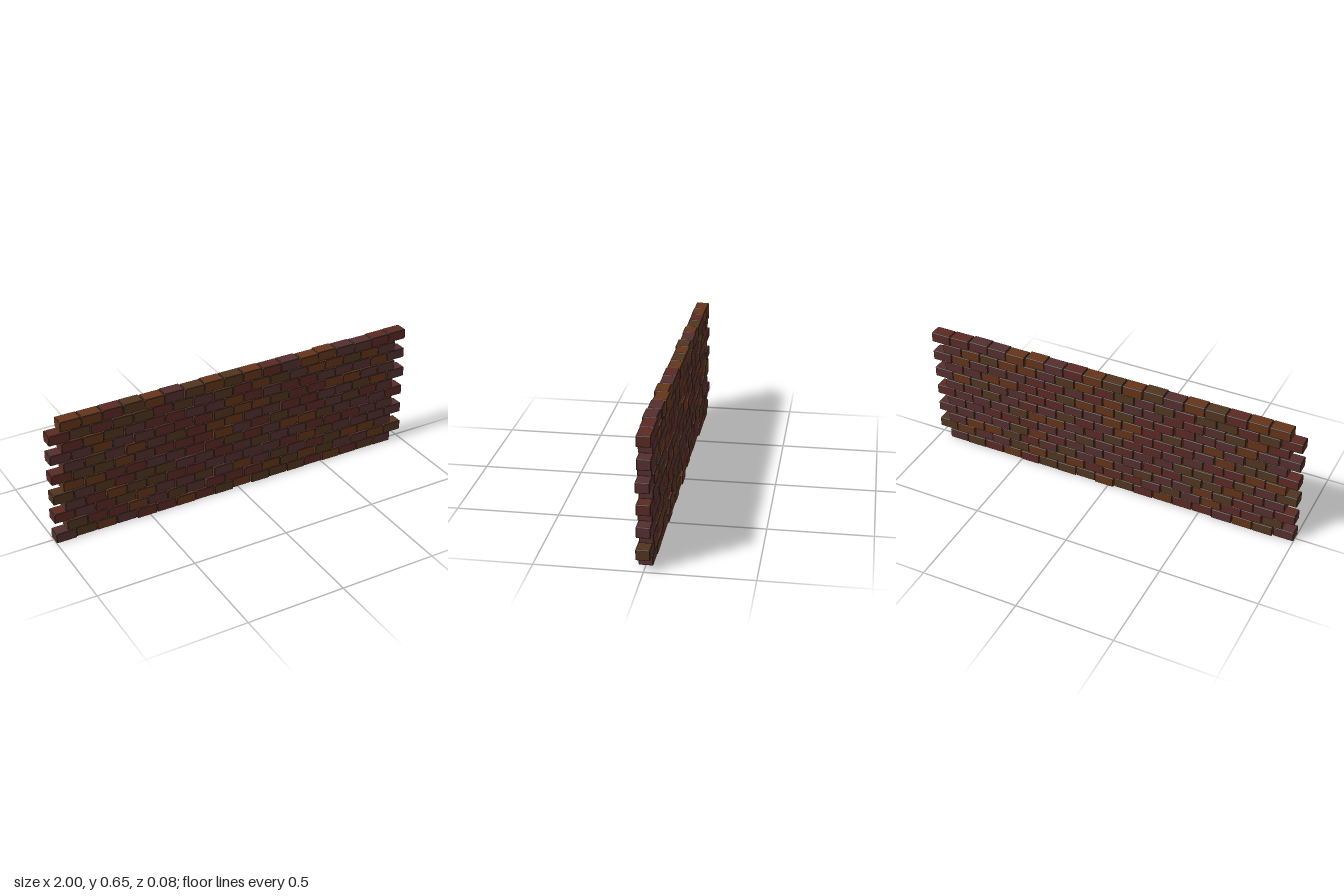
import * as THREE from 'three';
import { RoundedBoxGeometry } from 'three/addons/geometries/RoundedBoxGeometry.js';

const ROWS = 12, PER_ROW = 18;
const PITCH_X = 0.1076, PITCH_Y = 0.0541;
const LENGTH = 0.1062, HEIGHT = 0.0529, DEPTH = 0.067, BEVEL = 0.005;

// Small seeded generator, 0..1
function seeded(seed) {
  return () => {
    seed = (seed * 1664525 + 1013904223) >>> 0;
    return seed / 4294967296;
  };
}

// Rounded brick sorted into two groups: flat faces, then dark rounded edges
function brickGeometry() {
  const source = new RoundedBoxGeometry(LENGTH, HEIGHT, DEPTH, 2, BEVEL);
  const pos = source.attributes.position, nor = source.attributes.normal;
  const half = [LENGTH / 2, HEIGHT / 2, DEPTH / 2];
  const isFlat = (t) => half.some((h, axis) => [1, -1].every((sign) => sign > 0
    ? [0, 1, 2].every((k) => Math.abs(pos.getComponent(t + k, axis)) > h - 1e-5)
    : [0, 1, 2].every((k) => Math.abs(nor.getComponent(t + k, axis)) > 0.999)));
  const faces = [], edges = [];
  for (let t = 0; t < pos.count; t += 3) (isFlat(t) ? faces : edges).push(t, t + 1, t + 2);
  const geometry = new THREE.BufferGeometry();
  geometry.setAttribute('position', pos);
  geometry.setAttribute('normal', nor);
  geometry.setIndex([...faces, ...edges]);
  geometry.addGroup(0, faces.length, 0);
  geometry.addGroup(faces.length, edges.length, 1);
  return geometry;
}

export function createModel() {
  const wall = new THREE.Group();
  wall.name = 'brickWall';
  const random = seeded(41);
  const geometry = brickGeometry();

  // Four fired-clay tones and the dark worn edge
  const edge = new THREE.MeshStandardMaterial({ color: 0x24160f });
  const clay = [0x542f2e, 0x5b2923, 0x643419, 0x51351f]
    .map((color) => new THREE.MeshStandardMaterial({ color }));

  // Running bond: every other course is shifted by half a brick
  for (let row = 0; row < ROWS; row++) {
    const course = new THREE.Group();
    course.name = `course${row + 1}`;
    const start = row % 2 ? -0.942 + random() * 0.005 : -1;
    for (let i = 0; i < PER_ROW; i++) {
      const pick = random();
      const tone = pick < 0.32 ? 0 : pick < 0.58 ? 1 : pick < 0.8 ? 2 : 3;
      const brick = new THREE.Mesh(geometry, [clay[tone], edge]);
      brick.name = 'brick';
      // Each brick sits slightly proud of or behind its neighbours
      brick.position.set(
        start + LENGTH / 2 + i * PITCH_X,
        HEIGHT / 2 + row * PITCH_Y,
        (random() - 0.5) * 0.011
      );
      course.add(brick);
    }
    wall.add(course);
  }
  return wall;
}
